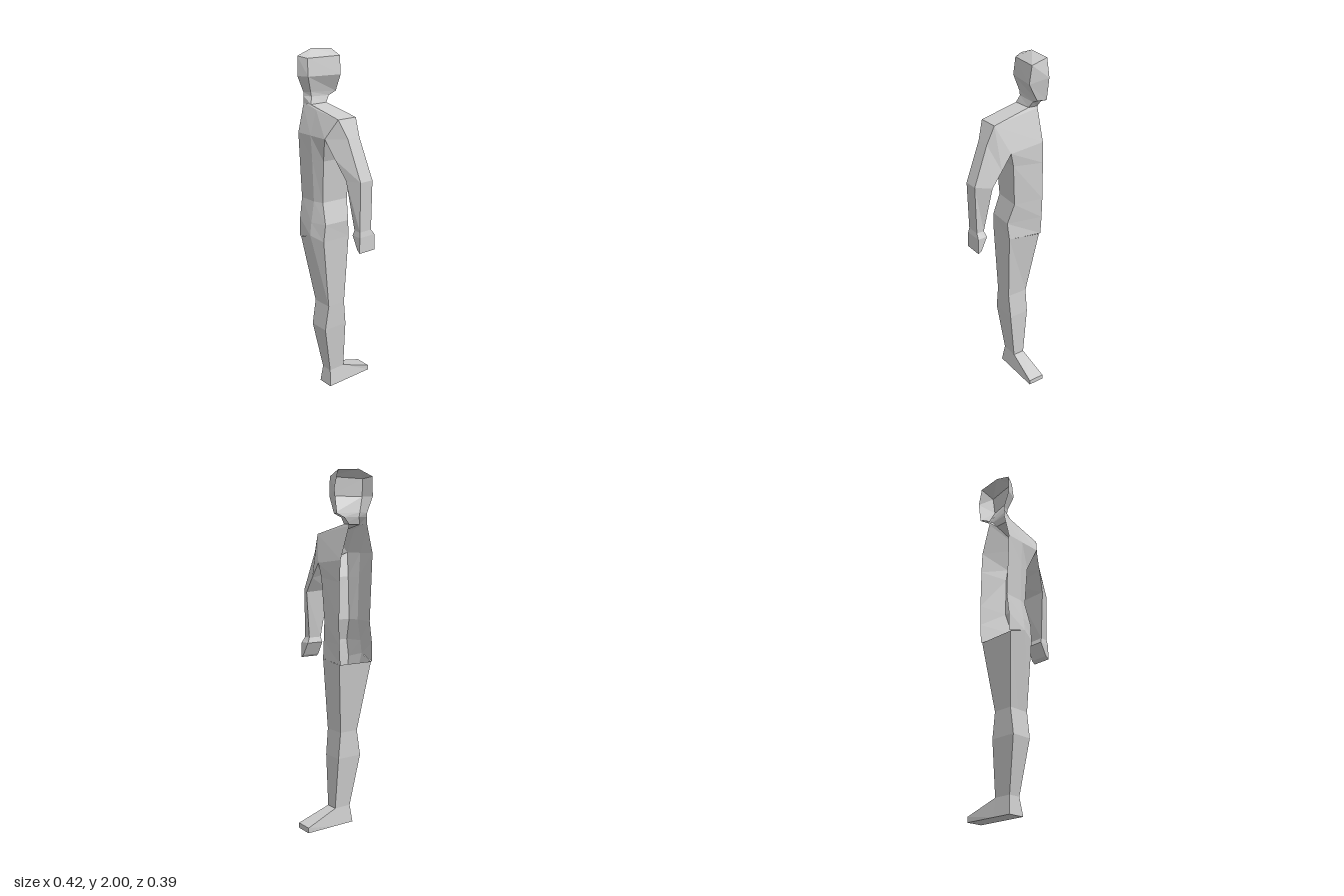
import * as THREE from 'three';

const material = new THREE.MeshStandardMaterial({ color: 0xcccccc, flatShading: true, side: THREE.DoubleSide });

// Skins rows of [x, y, z] points with flat faces; skip(row, column) leaves a face open
function loft(name, rows, { closed = false, capStart = false, capEnd = false, skip = () => false } = {}) {
  const pos = [];
  const quad = (a, b, c, d) => pos.push(...a, ...b, ...c, ...a, ...c, ...d);
  const n = rows[0].length;
  for (let r = 0; r < rows.length - 1; r++) {
    for (let c = 0; c < (closed ? n : n - 1); c++) {
      if (skip(r, c)) continue;
      const k = (c + 1) % n;
      quad(rows[r][c], rows[r + 1][c], rows[r + 1][k], rows[r][k]);
    }
  }
  const cap = (p) => {
    for (let i = 1; i < p.length - 1; i++) pos.push(...p[0], ...p[i], ...p[i + 1]);
  };
  if (capStart) cap(rows[0]);
  if (capEnd) cap([...rows[rows.length - 1]].reverse());
  const geometry = new THREE.BufferGeometry();
  geometry.setAttribute('position', new THREE.Float32BufferAttribute(pos, 3));
  geometry.computeVertexNormals();
  const mesh = new THREE.Mesh(geometry, material);
  mesh.name = name;
  return mesh;
}

const CUT = -0.21; // plane where the half figure is open

export function createModel() {
  const figure = new THREE.Group();
  figure.name = 'halfFigure';

  // Head and neck: back centre, back corner, face corner, face centre
  const crown = [CUT, 2.0, 0.08];
  const neck = [[CUT, 1.71, 0.14], [-0.15, 1.71, 0.135], [-0.155, 1.71, 0.025], [CUT, 1.71, 0.02]];
  figure.add(loft('head', [
    [crown, crown, crown, crown],
    [[CUT, 1.965, 0.175], [-0.155, 1.955, 0.15], [-0.122, 1.96, -0.045], [CUT, 1.99, -0.055]],
    [[CUT, 1.86, 0.178], [-0.145, 1.86, 0.155], [-0.11, 1.86, -0.04], [CUT, 1.89, -0.078]],
    [[CUT, 1.77, 0.14], [-0.165, 1.775, 0.125], [-0.16, 1.765, -0.045], [CUT, 1.765, -0.06]],
    [[CUT, 1.75, 0.14], [-0.165, 1.75, 0.12], [-0.165, 1.745, 0.0], [CUT, 1.745, -0.01]],
    neck,
  ]));

  // Torso: back centre, back middle, back side, front side, front centre
  const shoulderBack = [0.075, 1.66, 0.13], shoulderFront = [0.075, 1.66, 0.01];
  const armpitBack = [0.022, 1.555, 0.18], armpitFront = [0.0, 1.5, -0.037];
  const hips = [
    [CUT, 0.95, 0.185], [-0.1, 0.985, 0.195], [-0.015, 0.96, 0.165], [-0.008, 0.96, -0.01], [CUT, 0.95, -0.035],
  ];
  figure.add(loft('torso', [
    [neck[0], [-0.18, 1.71, 0.138], neck[1], neck[2], neck[3]],
    [[CUT, 1.7, 0.143], [-0.1, 1.69, 0.14], shoulderBack, shoulderFront, [CUT, 1.7, 0.018]],
    [[CUT, 1.555, 0.18], [-0.1, 1.555, 0.18], armpitBack, armpitFront, [CUT, 1.52, -0.037]],
    [[CUT, 1.42, 0.175], [-0.1, 1.42, 0.172], [-0.028, 1.42, 0.15], [-0.02, 1.42, -0.03], [CUT, 1.4, -0.042]],
    [[CUT, 1.18, 0.165], [-0.1, 1.18, 0.165], [-0.045, 1.18, 0.145], [-0.035, 1.18, -0.02], [CUT, 1.18, -0.045]],
    [[CUT, 1.06, 0.182], [-0.1, 1.06, 0.185], [-0.01, 1.06, 0.155], [0.0, 1.06, 0.0], [CUT, 1.06, -0.042]],
    hips,
  ], { skip: (r, c) => r === 1 && c === 2 }));

  // Arm: outer back, outer front, inner front, inner back
  const wrist = [[0.2, 1.06, 0.085], [0.2, 1.06, 0.005], [0.155, 1.06, 0.005], [0.155, 1.06, 0.085]];
  figure.add(loft('arm', [
    [shoulderBack, shoulderFront, armpitFront, armpitBack],
    [[0.117, 1.56, 0.1], [0.117, 1.56, 0.02], [0.06, 1.415, -0.038], [0.075, 1.45, 0.153]],
    [[0.207, 1.34, 0.088], [0.207, 1.34, 0.005], [0.12, 1.33, -0.036], [0.13, 1.34, 0.123]],
    wrist,
  ], { closed: true }));
  figure.add(loft('hand', [
    wrist,
    [[0.205, 1.03, 0.09], [0.205, 1.03, -0.016], [0.145, 1.03, -0.012], [0.145, 1.03, 0.09]],
    [[0.207, 0.94, 0.092], [0.207, 0.94, -0.018], [0.185, 0.955, -0.018], [0.185, 0.955, 0.09]],
  ], { closed: true, capEnd: true }));

  // Leg: box-like rings from hip to ankle
  const ring = (y, x0, x1, back, front) => [
    [x0, y, back], [(x0 + x1) / 2, y, back], [x1, y, back], [x1, y, front], [x0, y, front],
  ];
  const legTop = hips.map(([x, y, z]) => [Math.max(x, -0.2), y, z]);
  figure.add(loft('leg', [
    legTop,
    ring(0.55, -0.145, -0.02, 0.13, 0.015),
    ring(0.4, -0.147, -0.025, 0.153, 0.0),
    ring(0.1, -0.12, -0.05, 0.1, -0.003),
  ], { closed: true }));

  // Foot: slices from heel to toe
  const slice = (x0, x1, top, zTop, zSole) => [
    [x1, top, zTop], [x1 + (x1 > -0.04 ? 0 : 0.015), 0, zSole], [-0.132, 0, zSole], [x0, top, zTop],
  ];
  figure.add(loft('foot', [
    slice(-0.12, -0.05, 0.1, 0.1, 0.112),
    slice(-0.12, -0.05, 0.1, -0.003, -0.003),
    slice(-0.132, -0.035, 0.03, -0.195, -0.195),
  ], { closed: true, capStart: true, capEnd: true }));

  return figure;
}
